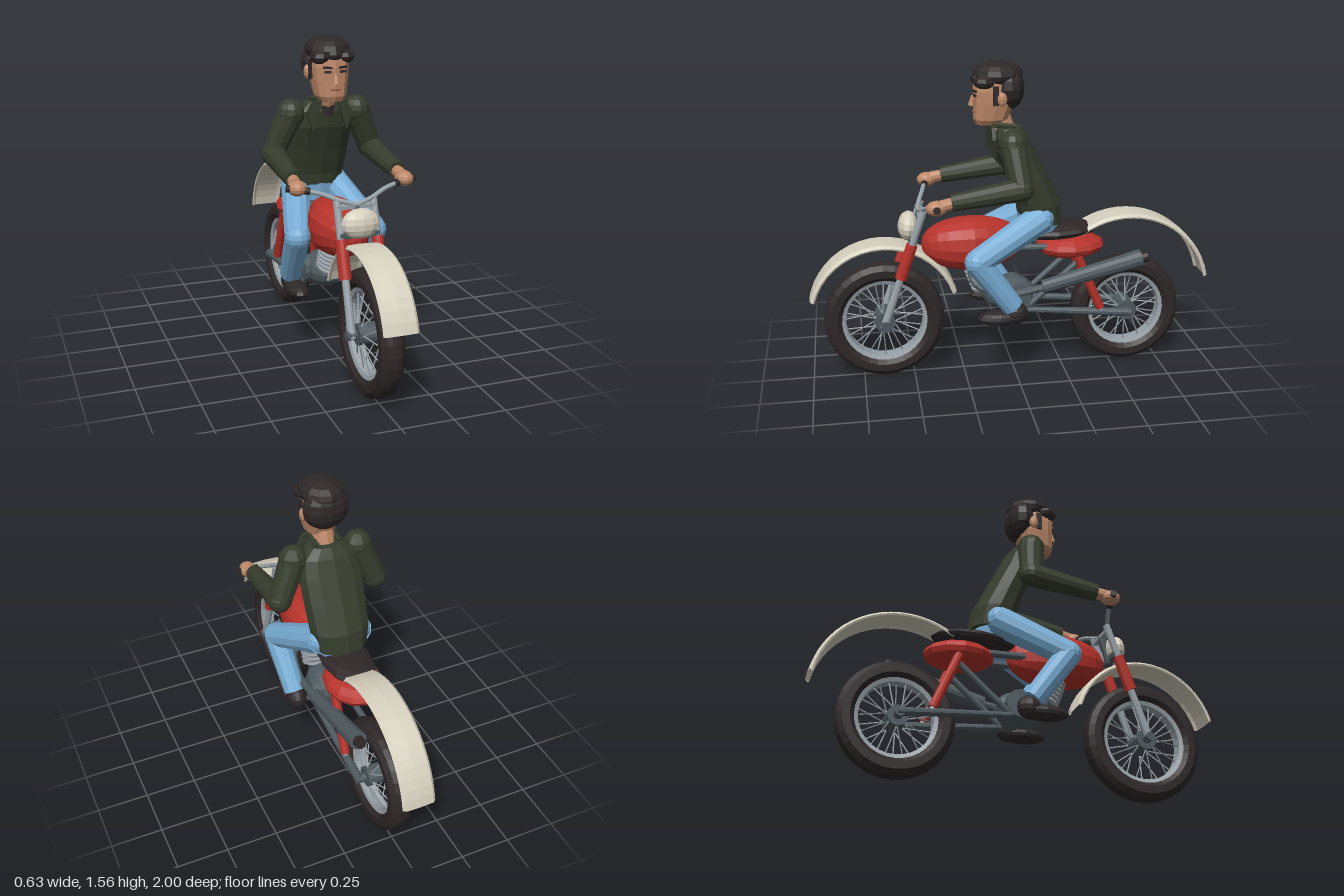
import * as THREE from 'three';

const mat = (name, color, side = THREE.FrontSide) => {
  const m = new THREE.MeshStandardMaterial({ color, flatShading: true, side });
  m.name = name;
  return m;
};
const V = (a) => new THREE.Vector3(...a);

export function createModel() {
  const black = mat('black', 0x2e2728);
  const silver = mat('silver', 0x98a2a8);
  const grey = mat('dark grey', 0x4e595f);
  const red = mat('red', 0xb5322a);
  const cream = mat('cream', 0xd5cfbd, THREE.DoubleSide);
  const green = mat('jacket green', 0x363d2d, THREE.DoubleSide);
  const denim = mat('denim blue', 0x78acd4);
  const skin = mat('skin', 0xbd8868);
  const lip = mat('lip brown', 0x84523f);

  const model = new THREE.Group();
  model.name = 'motorcycleAndRider';
  const bike = new THREE.Group();
  bike.name = 'motorcycle';
  const rider = new THREE.Group();
  rider.name = 'rider';
  model.add(bike, rider);

  // Helpers: place a mesh, a tapered rod between two points, an ellipsoid, a box, a loft
  const add = (parent, name, geo, material, pos = [0, 0, 0], rot = [0, 0, 0]) => {
    const m = new THREE.Mesh(geo, material);
    m.name = name;
    m.position.set(...pos);
    m.rotation.set(...rot);
    parent.add(m);
    return m;
  };
  const rod = (parent, name, a, b, ra, rb, material, sides = 10) => {
    const d = V(b).sub(V(a));
    const m = add(parent, name, new THREE.CylinderGeometry(rb, ra, d.length(), sides), material);
    m.position.copy(V(a)).addScaledVector(d, 0.5);
    m.quaternion.setFromUnitVectors(new THREE.Vector3(0, 1, 0), d.normalize());
    return m;
  };
  const ball = (parent, name, c, r, material, rot, w = 12, h = 8) =>
    add(parent, name, new THREE.SphereGeometry(1, w, h).scale(...r), material, c, rot);
  const box = (parent, name, c, s, material, rot) =>
    add(parent, name, new THREE.BoxGeometry(...s), material, c, rot);
  const tube = (parent, name, pts, r, material, seg = 12) =>
    add(parent, name, new THREE.TubeGeometry(new THREE.CatmullRomCurve3(pts.map(V)), seg, r, 8), material);
  // rings: [y, halfWidth, zCentre, halfDepth]
  const loft = (parent, name, rings, power, material, n = 12) => {
    const pos = [], idx = [];
    const p = (v) => Math.sign(v) * Math.abs(v) ** power;
    for (const [y, rx, zc, rz] of rings)
      for (let i = 0; i < n; i++) {
        const a = (i / n) * Math.PI * 2;
        pos.push(rx * p(Math.sin(a)), y, zc + rz * p(Math.cos(a)));
      }
    for (let j = 0; j < rings.length - 1; j++)
      for (let i = 0; i < n; i++) {
        const a = j * n + i, b = j * n + ((i + 1) % n);
        idx.push(a, b, b + n, a, b + n, a + n);
      }
    const last = (rings.length - 1) * n;
    for (let i = 1; i < n - 1; i++) idx.push(0, i + 1, i, last, last + i, last + i + 1);
    const g = new THREE.BufferGeometry();
    g.setAttribute('position', new THREE.Float32BufferAttribute(pos, 3));
    g.setIndex(idx);
    g.computeVertexNormals();
    return add(parent, name, g, material);
  };
  // Profile of [radius, offset] turned about the x axis; angle runs from +z up to +y
  const turn = (pts, seg, start = 0, len = Math.PI * 2) =>
    new THREE.LatheGeometry(pts.map(([r, y]) => new THREE.Vector2(r, y)), seg, start, len).rotateZ(Math.PI / 2);

  // Wheels: tyre, rim, hub and laced spokes
  const wheel = (name, R, z) => {
    const g = new THREE.Group();
    g.name = name;
    g.position.set(0, R, z);
    bike.add(g);
    const T = [[R - 0.088, -0.035], [R - 0.065, -0.055], [R - 0.03, -0.055], [R - 0.006, -0.035], [R, -0.012]];
    const tyre = [...T, ...T.map(([r, y]) => [r, -y]).reverse(), T[0]];
    add(g, 'tyre', turn(tyre, 32), black);
    const ri = R - 0.105, ro = R - 0.083;
    add(g, 'rim', turn([[ri, -0.03], [ro, -0.038], [ro, 0.038], [ri, 0.03], [ri, -0.03]], 32), silver);
    rod(g, 'hub', [-0.065, 0, 0], [0.065, 0, 0], 0.05, 0.05, grey, 14);
    rod(g, 'axle', [-0.115, 0, 0], [0.115, 0, 0], 0.022, 0.022, grey);
    for (let i = 0; i < 28; i++) {
      const a = (i / 28) * Math.PI * 2, b = a + (i % 4 < 2 ? 0.22 : -0.22), s = i % 2 ? 1 : -1;
      rod(g, 'spoke', [s * 0.05, 0.045 * Math.sin(b), 0.045 * Math.cos(b)],
        [s * 0.012, ri * Math.sin(a), ri * Math.cos(a)], 0.0035, 0.0035, silver, 4);
    }
  };
  wheel('frontWheel', 0.295, 0.64);
  wheel('rearWheel', 0.28, -0.58);

  // Fenders
  const fender = (name, R, y, z, a0, a1) => {
    const p = [[R - 0.016, -0.082], [R - 0.003, -0.068], [R, 0], [R - 0.003, 0.068], [R - 0.016, 0.082],
      [R - 0.024, 0.078], [R - 0.014, 0.06], [R - 0.014, -0.06], [R - 0.024, -0.078], [R - 0.016, -0.082]];
    add(bike, name, turn(p, 18, a0, a1 - a0), cream, [0, y, z]);
  };
  fender('frontFender', 0.374, 0.325, 0.64, 0.28, Math.PI - 0.31);
  fender('rearFender', 0.43, 0.365, -0.575, 0.95, Math.PI - 0.2);

  // Fuel tank: boxy ellipsoid narrowing towards the seat
  const tank = new THREE.SphereGeometry(1, 16, 12).rotateX(Math.PI / 2);
  const tp = tank.attributes.position;
  for (let i = 0; i < tp.count; i++) {
    const x = tp.getX(i), y = tp.getY(i), z = tp.getZ(i);
    const back = Math.max(0, -z);
    tp.setXYZ(i, 0.142 * x * (1 - 0.3 * back), 0.132 * Math.sign(y) * Math.abs(y) ** 0.85, 0.25 * z);
  }
  add(bike, 'fuelTank', tank, red, [0, 0.667, 0.2]);

  // Seat and tail
  ball(bike, 'tailBody', [0, 0.632, -0.29], [0.14, 0.062, 0.175], red);
  ball(bike, 'seat', [0, 0.715, -0.215], [0.122, 0.042, 0.215], black, [0.03, 0, 0]);

  // Engine with tilted cooling fins
  ball(bike, 'crankcase', [0, 0.395, 0.02], [0.095, 0.088, 0.135], grey);
  rod(bike, 'engineCover', [-0.105, 0.39, -0.01], [0.105, 0.39, -0.01], 0.07, 0.07, grey, 12);
  rod(bike, 'cylinderBarrel', [0, 0.42, 0.12], [0, 0.58, 0.18], 0.05, 0.05, grey);
  for (let i = 0; i < 6; i++) {
    const t = i * 0.022;
    rod(bike, 'coolingFin', [0, 0.445 + t, 0.135 + t * 0.36], [0, 0.455 + t, 0.139 + t * 0.36], 0.075, 0.075, silver, 14);
  }
  rod(bike, 'footPegs', [-0.2, 0.33, 0], [0.2, 0.33, 0], 0.012, 0.012, grey, 8);

  // Exhaust on the left side
  tube(bike, 'exhaustHeader', [[0.03, 0.53, 0.21], [0.1, 0.49, 0.2], [0.125, 0.43, 0.08], [0.13, 0.455, -0.13]], 0.02, grey, 14);
  rod(bike, 'muffler', [0.13, 0.46, -0.13], [0.13, 0.583, -0.625], 0.034, 0.044, grey, 12);
  rod(bike, 'exhaustTip', [0.13, 0.575, -0.6], [0.13, 0.59, -0.655], 0.028, 0.028, black);

  // Paired frame tubes, shocks and fork legs
  const forkZ = (y) => 0.64 - (y - 0.3) * 0.351;
  for (const s of [1, -1]) {
    const X = s * 0.1;
    rod(bike, 'swingarm', [s * 0.09, 0.33, -0.05], [X, 0.283, -0.59], 0.015, 0.022, grey);
    rod(bike, 'frameStrut', [s * 0.085, 0.34, -0.06], [s * 0.085, 0.58, -0.33], 0.016, 0.016, grey);
    rod(bike, 'topFrameRail', [s * 0.06, 0.65, 0.1], [s * 0.06, 0.64, -0.25], 0.018, 0.018, grey);
    rod(bike, 'rearShock', [X, 0.6, -0.31], [X, 0.32, -0.43], 0.022, 0.022, red);
    rod(bike, 'shockEnd', [X, 0.33, -0.425], [X, 0.29, -0.44], 0.013, 0.013, silver);
    const at = (y) => [s * 0.088, y, forkZ(y)];
    rod(bike, 'forkLower', at(0.28), at(0.56), 0.02, 0.017, silver);
    rod(bike, 'forkSleeve', at(0.53), at(0.7), 0.029, 0.027, red);
    rod(bike, 'forkUpper', at(0.69), at(0.865), 0.018, 0.018, silver);
    rod(bike, 'handGrip', [s * 0.205, 0.912, 0.412], [s * 0.31, 0.93, 0.395], 0.017, 0.017, black);
    tube(bike, 'handlebar', [[0, 0.843, 0.462], [s * 0.08, 0.868, 0.45], [s * 0.16, 0.9, 0.425], [s * 0.29, 0.926, 0.398]], 0.011, silver);
  }
  box(bike, 'upperClamp', [0, 0.835, forkZ(0.835)], [0.19, 0.018, 0.035], silver);
  box(bike, 'lowerClamp', [0, 0.715, forkZ(0.715)], [0.19, 0.025, 0.04], grey);
  rod(bike, 'steeringStem', [0, 0.7, 0.49], [0, 0.845, 0.45], 0.02, 0.02, grey);
  ball(bike, 'headlight', [0, 0.77, 0.512], [0.092, 0.07, 0.05], cream, [-0.1, 0, 0]);

  // Torso, shirt, lapels and neck
  loft(rider, 'jacketBody', [[0.77, 0.13, -0.14, 0.11], [0.87, 0.148, -0.125, 0.11], [1.0, 0.154, -0.07, 0.1],
    [1.12, 0.156, -0.015, 0.095], [1.2, 0.14, 0.01, 0.082], [1.245, 0.085, 0.02, 0.06]], 0.85, green);
  loft(rider, 'shirt', [[1.18, 0.05, 0.055, 0.04], [1.252, 0.058, 0.045, 0.05]], 1, black);
  rod(rider, 'neck', [0, 1.2, 0.03], [0, 1.31, 0.07], 0.054, 0.054, skin);
  for (const s of [1, -1]) {
    const shape = new THREE.Shape([[0.035, 1.262], [0.085, 1.255], [0.112, 1.2], [0.085, 1.11]]
      .map(([x, y]) => new THREE.Vector2(s * x, y)));
    add(rider, 'lapel', new THREE.ExtrudeGeometry(shape, { depth: 0.018, bevelEnabled: false }), green, [0, 0, 0.094]);
    rod(rider, 'collarSide', [s * 0.045, 1.262, 0.1], [s * 0.06, 1.25, -0.01], 0.014, 0.014, green, 6);

    // Arms and hands
    const sh = [s * 0.165, 1.19, 0.022], el = [s * 0.248, 0.995, -0.005], wr = [s * 0.253, 0.948, 0.325];
    ball(rider, 'shoulder', sh, [0.07, 0.07, 0.068], green);
    rod(rider, 'upperArm', sh, el, 0.066, 0.056, green, 12);
    ball(rider, 'elbow', el, [0.058, 0.058, 0.058], green);
    rod(rider, 'forearm', el, wr, 0.057, 0.041, green, 12);
    rod(rider, 'wrist', [s * 0.253, 0.948, 0.31], [s * 0.26, 0.935, 0.375], 0.028, 0.03, skin);
    ball(rider, 'hand', [s * 0.26, 0.927, 0.395], [0.043, 0.036, 0.05], skin);

    // Legs and shoes
    const hip = [s * 0.095, 0.805, -0.13], knee = [s * 0.194, 0.63, 0.2], ank = [s * 0.172, 0.385, 0.025];
    ball(rider, 'hip', hip, [0.07, 0.07, 0.06], denim);
    rod(rider, 'thigh', hip, knee, 0.074, 0.063, denim, 12);
    ball(rider, 'knee', knee, [0.062, 0.062, 0.062], denim);
    rod(rider, 'shin', knee, ank, 0.062, 0.054, denim, 12);
    ball(rider, 'shoe', [s * 0.165, 0.328, 0.085], [0.055, 0.038, 0.115], black);
    ball(rider, 'shoeHeel', [s * 0.168, 0.348, 0.01], [0.05, 0.057, 0.06], black);

    // Ears, sideburns, eyes and brows
    ball(rider, 'ear', [s * 0.097, 1.39, 0.062], [0.016, 0.034, 0.024], skin, [0, 0, 0], 8, 6);
    box(rider, 'sideburn', [s * 0.088, 1.405, 0.092], [0.02, 0.09, 0.026], black);
    box(rider, 'eye', [s * 0.037, 1.402, 0.183], [0.032, 0.011, 0.009], black, [0, s * 0.2, 0]);
    box(rider, 'eyebrow', [s * 0.038, 1.422, 0.183], [0.042, 0.01, 0.009], black, [0, s * 0.2, s * 0.06]);
    ball(rider, 'fringeTuft', [s * 0.06, 1.468, 0.14], [0.05, 0.034, 0.055], black, [0, 0, 0], 8, 6);
  }
  loft(rider, 'hips', [[0.73, 0.11, -0.13, 0.1], [0.85, 0.135, -0.12, 0.1]], 0.9, denim);

  // Head and face
  loft(rider, 'head', [[1.26, 0.055, 0.115, 0.062], [1.285, 0.073, 0.105, 0.083], [1.36, 0.087, 0.088, 0.1],
    [1.42, 0.09, 0.085, 0.105], [1.48, 0.085, 0.08, 0.103], [1.53, 0.06, 0.07, 0.07]], 0.8, skin);
  const nose = new THREE.CylinderGeometry(0.007, 0.016, 0.048, 6);
  add(rider, 'nose', nose, skin, [0, 1.372, 0.193], [-0.15, 0, 0]);
  box(rider, 'mouth', [0, 1.318, 0.187], [0.044, 0.007, 0.009], lip);

  // Hair: crown, rounded back and a front tuft
  ball(rider, 'hairCrown', [0, 1.495, 0.07], [0.108, 0.062, 0.122], black);
  ball(rider, 'hairBack', [0, 1.432, 0.018], [0.115, 0.108, 0.076], black);
  ball(rider, 'hairFringe', [0, 1.478, 0.158], [0.045, 0.032, 0.042], black, [0, 0, 0], 8, 6);

  return model;
}
